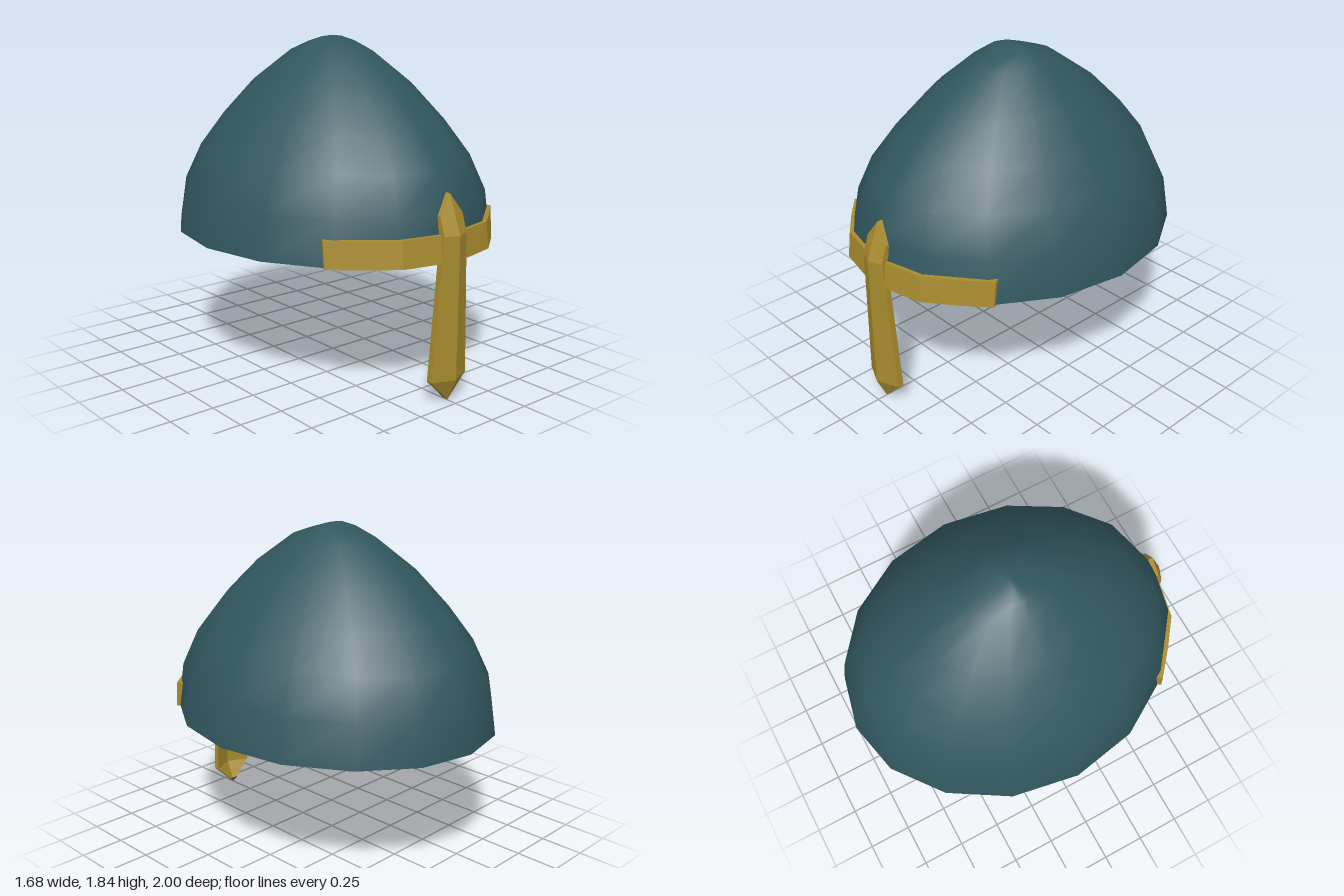
import * as THREE from 'three';

const steel = new THREE.MeshStandardMaterial({ color: 0x31575f, side: THREE.DoubleSide });
steel.name = 'tealSteel';
const brass = new THREE.MeshStandardMaterial({ color: 0xa98c2e, side: THREE.DoubleSide });
brass.name = 'brass';

function mesh(name, geometry, material) {
  const m = new THREE.Mesh(geometry, material);
  m.name = name;
  return m;
}

// Closed solid through a list of equal-length cross-section loops, with crisp facets
function loft(sections) {
  const pos = [];
  const tri = (a, b, c) => pos.push(...a, ...b, ...c);
  const n = sections[0].length;
  for (let s = 0; s < sections.length - 1; s++) {
    for (let i = 0; i < n; i++) {
      const j = (i + 1) % n;
      const a = sections[s][i], b = sections[s + 1][i];
      const c = sections[s + 1][j], d = sections[s][j];
      tri(a, b, c);
      tri(a, c, d);
    }
  }
  const first = sections[0], last = sections[sections.length - 1];
  for (let i = 1; i < n - 1; i++) {
    tri(first[0], first[i], first[i + 1]);
    tri(last[0], last[i + 1], last[i]);
  }
  const g = new THREE.BufferGeometry();
  g.setAttribute('position', new THREE.Float32BufferAttribute(pos, 3));
  g.computeVertexNormals();
  return g;
}

// Smooth open shell: sixteen-sided oval rings closing to an apex
function domeGeometry() {
  const quarter = [[0, 1], [0.363, 0.929], [0.685, 0.714], [0.917, 0.388]];
  const dirs = [
    ...quarter,
    [1, 0], ...quarter.slice(1).reverse().map(([x, z]) => [x, -z]),
    [0, -1], ...quarter.slice(1).map(([x, z]) => [-x, -z]),
    [-1, 0], ...quarter.slice(1).reverse().map(([x, z]) => [-x, z]),
  ];
  // height, half width, half depth, depth centre
  const rings = [
    [0.765, 0.84, 0.98, -0.02],
    [1.005, 0.80, 0.95, -0.015],
    [1.205, 0.70, 0.862, -0.012],
    [1.395, 0.567, 0.705, -0.012],
    [1.59, 0.405, 0.50, -0.015],
    [1.76, 0.21, 0.257, -0.013],
    [1.81, 0.14, 0.115, -0.013],
    [1.835, 0.07, 0.03, -0.013],
  ];
  const pos = [], index = [], n = dirs.length;
  for (const [y, rx, rz, cz] of rings) {
    for (const [dx, dz] of dirs) pos.push(dx * rx, y, cz + dz * rz);
  }
  pos.push(0, 1.842, -0.013);
  const apex = rings.length * n;
  for (let r = 0; r < rings.length; r++) {
    for (let i = 0; i < n; i++) {
      const j = (i + 1) % n, a = r * n + i, b = r * n + j;
      if (r === rings.length - 1) index.push(a, b, apex);
      else index.push(a, b, b + n, a, b + n, a + n);
    }
  }
  const g = new THREE.BufferGeometry();
  g.setAttribute('position', new THREE.Float32BufferAttribute(pos, 3));
  g.setIndex(index);
  g.computeVertexNormals();
  return g;
}

// Brow band wrapped round the front of the rim, leaning in towards the top
function browBandGeometry() {
  // outer x, outer z, inner x, inner z
  const half = [
    [0.605, 0.67, 0.587, 0.638],
    [0.46, 0.797, 0.445, 0.757],
    [0.305, 0.917, 0.295, 0.872],
    [0.08, 0.968, 0.078, 0.93],
  ];
  const path = [...half.map(([a, b, c, d]) => [-a, b, -c, d]), ...half.slice().reverse()];
  const lean = 0.98;
  return loft(path.map(([ox, oz, ix, iz]) => [
    [ox, 0.762, oz], [ox, 0.905, oz * lean],
    [ix, 0.905, iz * lean], [ix, 0.762, iz],
  ]));
}

// Ridged nose guard, hollowed behind
function noseGuardGeometry() {
  const depth = 0.032;
  // height, half width, ridge z, edge z
  const rows = [
    [1.105, 0, 0.922, 0.922],
    [1.0, 0.08, 0.962, 0.935],
    [0.9, 0.08, 1.0, 0.968],
    [0.13, 0.125, 1.0, 0.945],
    [0.005, 0, 0.942, 0.942],
  ];
  return loft(rows.map(([y, w, ridge, edge]) => [
    [-w, y, edge], [0, y, ridge], [w, y, edge],
    [w, y, edge - depth], [0, y, ridge - depth], [-w, y, edge - depth],
  ]));
}

// Small steel facet behind the lower point of the guard
function guardTipGeometry() {
  const g = new THREE.BufferGeometry();
  g.setAttribute('position', new THREE.Float32BufferAttribute(
    [0, 0.002, 0.914, -0.028, 0.034, 0.907, 0.028, 0.034, 0.907], 3));
  g.computeVertexNormals();
  return g;
}

export function createModel() {
  const helmet = new THREE.Group();
  helmet.name = 'helmet';
  helmet.add(
    mesh('dome', domeGeometry(), steel),
    mesh('browBand', browBandGeometry(), brass),
    mesh('noseGuard', noseGuardGeometry(), brass),
    mesh('noseGuardTip', guardTipGeometry(), steel),
  );
  return helmet;
}
